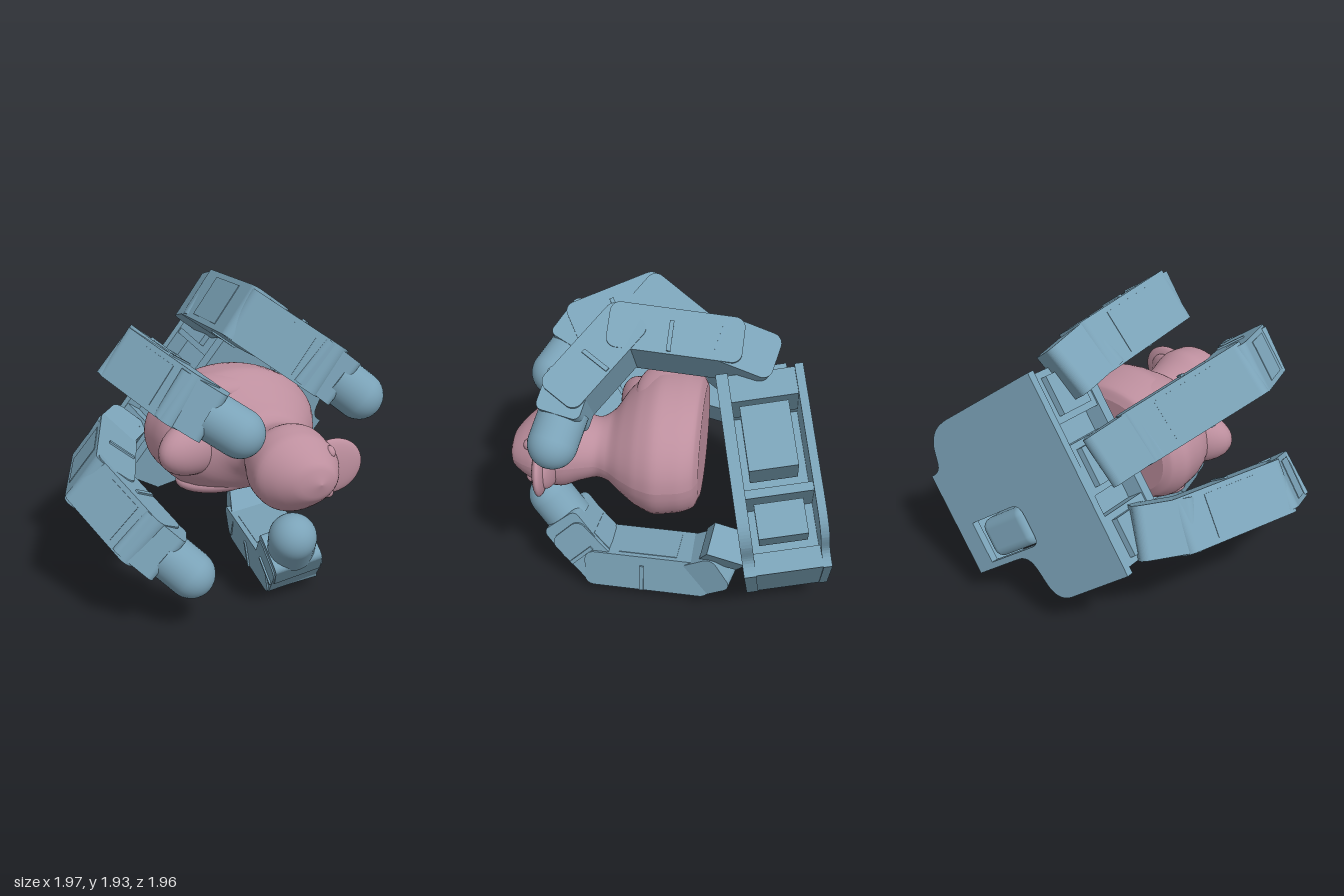
import * as THREE from 'three';
import { RoundedBoxGeometry } from 'three/addons/geometries/RoundedBoxGeometry.js';

const V = (x, y, z) => new THREE.Vector3(x, y, z);
const blue = new THREE.MeshStandardMaterial({ color: 0x7ba3b8 });
const pink = new THREE.MeshStandardMaterial({ color: 0xbd8f9e });

function add(parent, name, geometry, material, pos = [0, 0, 0], scale = [1, 1, 1]) {
  const mesh = new THREE.Mesh(geometry, material);
  mesh.name = name;
  mesh.position.set(...pos);
  mesh.scale.set(...scale);
  parent.add(mesh);
  return mesh;
}
const box = (parent, name, size, pos) => add(parent, name, new THREE.BoxGeometry(...size), blue, pos);

// Extruded link housing: length on y, thickness on z, width on x, rounded in profile
function linkGeometry(width, length, thick, r) {
  const a = thick / 2, b = length / 2, s = new THREE.Shape();
  s.moveTo(-a + r, -b);
  s.lineTo(a - r, -b).absarc(a - r, -b + r, r, -Math.PI / 2, 0);
  s.lineTo(a, b - r).absarc(a - r, b - r, r, 0, Math.PI / 2);
  s.lineTo(-a + r, b).absarc(-a + r, b - r, r, Math.PI / 2, Math.PI);
  s.lineTo(-a, -b + r).absarc(-a + r, -b + r, r, Math.PI, Math.PI * 1.5);
  return new THREE.ExtrudeGeometry(s, { depth: width, bevelEnabled: false, curveSegments: 6 })
    .translate(0, 0, -width / 2).rotateY(Math.PI / 2);
}

// Jointed finger through a chain of joints; the last point is the fingertip centre
function finger(parent, name, joints, widthAxis, thick) {
  const g = new THREE.Group();
  g.name = name;
  parent.add(g);
  const widths = [0.32, 0.33, 0.315, 0.295];
  for (let i = 0; i < joints.length - 1; i++) {
    const a = joints[i], b = joints[i + 1], last = i === joints.length - 2;
    const y = b.clone().sub(a), length = y.length(), w = widths[i];
    y.normalize();
    const x = widthAxis.clone().addScaledVector(y, -widthAxis.dot(y)).normalize();
    const link = new THREE.Group();
    link.name = ['knuckleBase', 'proximalLink', 'middleLink', 'distalLink'][i];
    link.quaternion.setFromRotationMatrix(new THREE.Matrix4().makeBasis(x, y, x.clone().cross(y)));
    link.position.copy(a);
    g.add(link);
    if (last) {
      // Distal housing with the rounded rubber tip
      const h = length * 0.6 + 0.08;
      add(link, 'housing', linkGeometry(w, h, 0.26, 0.04), blue, [0, h / 2 - 0.1, 0]);
      add(link, 'tipSleeve', new THREE.CylinderGeometry(0.142, 0.142, 0.2, 32), blue, [0, length - 0.1, 0]);
      add(link, 'fingertip', new THREE.SphereGeometry(0.142, 32, 20), blue, [0, length, 0]);
    } else {
      const h = length + (i === 0 ? 0.14 : 0.18);
      add(link, 'housing', linkGeometry(w, h, thick, 0.06), blue, [0, length / 2, 0]);
      // Slim ribs on the sides and a cover on the back
      if (i > 0) {
        for (const s of [-1, 1]) box(link, 'sideRib', [0.014, 0.025, 0.18], [s * (w / 2 + 0.004), length * 0.55, 0.03]);
        box(link, 'backCover', [w * 0.8, length * 0.6, 0.012], [0, length / 2, 0.002 - thick / 2]);
      }
    }
    // Hinge pin
    if (i > 0) add(link, 'hinge', new THREE.CylinderGeometry(0.125, 0.125, 0.29, 24).rotateZ(Math.PI / 2), blue);
  }
}

const plate = (shape, depth) => new THREE.ExtrudeGeometry(shape, { depth, bevelEnabled: false, curveSegments: 10 });

// Palm outline; the back one carries the thumb lobe
function palmOutline(lobed) {
  const s = new THREE.Shape();
  s.moveTo(-0.34, 0).lineTo(0.34, 0);
  s.bezierCurveTo(0.33, 0.12, 0.42, 0.1, 0.5, 0.14);
  s.bezierCurveTo(0.58, 0.19, 0.6, 0.24, 0.61, 0.34);
  s.lineTo(0.63, 1.12);
  if (lobed) {
    s.lineTo(-0.65, 1.11).lineTo(-0.665, 0.62);
    s.bezierCurveTo(-0.66, 0.53, -0.6, 0.5, -0.54, 0.49);
    s.bezierCurveTo(-0.44, 0.47, -0.34, 0.48, -0.34, 0.36);
  } else s.lineTo(-0.62, 1.12).lineTo(-0.6, 0.85).lineTo(-0.34, 0.6);
  s.closePath();
  return s;
}

function buildPalm(hand) {
  const palm = new THREE.Group();
  palm.name = 'palm';
  hand.add(palm);

  const back = palmOutline(true), hole = new THREE.Path();
  hole.moveTo(-0.3, 0.14).lineTo(-0.3, 0.52).quadraticCurveTo(-0.3, 0.58, -0.24, 0.58);
  hole.lineTo(-0.1, 0.58).quadraticCurveTo(-0.03, 0.58, -0.03, 0.5).lineTo(-0.03, 0.14).closePath();
  back.holes.push(hole);
  add(palm, 'backPlate', plate(back, 0.05), blue);
  add(palm, 'frontPlate', plate(palmOutline(false), 0.07), blue, [0, 0, 0.43]);

  // Wrist block, cross ribs and central web between the plates
  box(palm, 'wristBlock', [0.674, 0.125, 0.44], [0, 0.067, 0.25]);
  box(palm, 'lowerRib', [0.58, 0.05, 0.4], [0.3, 0.42, 0.25]);
  box(palm, 'upperRib', [1.2, 0.05, 0.4], [0, 0.98, 0.25]);
  box(palm, 'web', [0.05, 0.9, 0.4], [0.2, 0.55, 0.25]);
  // Drive motors in the bays, and one stepped mount for each finger
  box(palm, 'motor', [0.3, 0.38, 0.28], [0.43, 0.74, 0.25]);
  box(palm, 'motor', [0.22, 0.2, 0.28], [0.38, 0.28, 0.25]);
  box(palm, 'motor', [0.5, 0.3, 0.28], [-0.2, 0.78, 0.25]);
  for (const u of [-0.45, 0, 0.45]) {
    box(palm, 'fingerMount', [0.32, 0.16, 0.38], [u, 1.03, 0.24]);
    box(palm, 'fingerMountStep', [0.24, 0.1, 0.26], [u, 1.1, 0.22]);
  }
  add(palm, 'thumbMotor', new RoundedBoxGeometry(0.25, 0.38, 0.4, 3, 0.06), blue, [-0.17, 0.38, 0.19]);
}

// Body and head skinned over elliptical sections: z, centre x, radius x, radius y
function duckSkin() {
  const keys = [
    [-0.17, 0.11, 0.41, 0.3], [-0.14, 0.12, 0.47, 0.36], [-0.05, 0.12, 0.52, 0.39], [0.08, 0.14, 0.52, 0.4],
    [0.2, 0.14, 0.48, 0.355], [0.3, 0.16, 0.39, 0.27], [0.38, 0.22, 0.26, 0.19], [0.46, 0.25, 0.2, 0.175],
    [0.56, 0.25, 0.225, 0.205], [0.68, 0.25, 0.255, 0.252], [0.8, 0.25, 0.255, 0.235], [0.89, 0.27, 0.2, 0.17],
    [0.955, 0.3, 0.12, 0.1], [0.985, 0.32, 0.001, 0.001]];
  const centres = new THREE.CatmullRomCurve3(keys.map(k => V(k[1], 0, k[0])));
  const radii = new THREE.CatmullRomCurve3(keys.map(k => V(k[2], k[3], 0)));
  const rows = 64, cols = 48, pos = [], idx = [];
  for (let i = 0; i <= rows; i++) {
    const c = centres.getPoint(i / rows), r = radii.getPoint(i / rows);
    for (let j = 0; j <= cols; j++) {
      const t = (j / cols) * Math.PI * 2;
      pos.push(c.x + Math.cos(t) * r.x, 0.95 + Math.sin(t) * r.y, c.z);
      if (i < rows && j < cols) {
        const p = i * (cols + 1) + j, q = p + cols + 1;
        idx.push(p, p + 1, q, p + 1, q + 1, q);
      }
    }
  }
  const g = new THREE.BufferGeometry();
  g.setAttribute('position', new THREE.Float32BufferAttribute(pos, 3));
  g.setIndex(idx);
  g.computeVertexNormals();
  return g;
}

function buildDuck(root) {
  const duck = new THREE.Group();
  duck.name = 'toyDuck';
  root.add(duck);
  const ball = new THREE.SphereGeometry(1, 32, 20);
  add(duck, 'bodyAndHead', duckSkin(), pink);
  add(duck, 'base', new THREE.CircleGeometry(1, 48).rotateY(Math.PI), pink, [0.11, 0.95, -0.17], [0.41, 0.3, 1]);
  // Upturned tail
  add(duck, 'tail', ball, pink, [-0.15, 0.95, 0.22], [0.29, 0.18, 0.14]).rotation.y = 0.45;
  // Wide flat bill in two halves
  add(duck, 'upperBill', ball, pink, [0.48, 0.95, 0.77], [0.19, 0.17, 0.045]).rotation.y = 0.05;
  add(duck, 'lowerBill', ball, pink, [0.45, 0.95, 0.71], [0.16, 0.14, 0.045]).rotation.y = -0.2;
  for (const s of [-1, 1]) {
    add(duck, 'eye', ball, pink, [0.43, 0.95 + s * 0.12, 0.835], [0.032, 0.04, 0.04]);
    add(duck, 'wing', ball, pink, [0.04, 0.95 + s * 0.3, 0.08], [0.28, 0.085, 0.17]);
  }
}

export function createModel() {
  const root = new THREE.Group();
  root.name = 'handHoldingDuck';

  // Tilted hand frame: x across the knuckles, y towards the fingers, z out of the palm
  const hand = new THREE.Group();
  hand.name = 'mechanicalHand';
  const x = V(0.61, 0.79, 0.013).normalize(), z = V(0.16, -0.14, 0.98);
  z.addScaledVector(x, -z.dot(x)).normalize();
  hand.quaternion.setFromRotationMatrix(new THREE.Matrix4().makeBasis(x, z.clone().cross(x), z));
  hand.position.set(0.705, 0.47, -0.975);
  root.add(hand);
  buildPalm(hand);

  const across = V(1, 0, 0);
  finger(hand, 'firstFinger', [V(0.55, 1.19, 0.24), V(0.6, 1.28, 0.42), V(0.67, 1.425, 0.98), V(0.69, 1.11, 1.32), V(0.68, 0.84, 1.45)], across, 0.27);
  finger(hand, 'secondFinger', [V(0, 1.17, 0.24), V(0.03, 1.36, 0.4), V(0.09, 1.83, 0.83), V(0.12, 1.71, 1.25), V(0.146, 1.445, 1.48)], across, 0.27);
  finger(hand, 'thirdFinger', [V(-0.48, 1.17, 0.24), V(-0.55, 1.32, 0.4), V(-0.63, 1.59, 0.93), V(-0.67, 1.42, 1.31), V(-0.7, 1.137, 1.51)], across, 0.27);

  // Thumb, reaching forward beneath the duck
  finger(root, 'thumb', [V(0.42, 0.25, -0.31), V(0.385, 0.155, -0.17), V(0.355, 0.155, 0.44), V(0.31, 0.32, 0.6), V(0.245, 0.535, 0.78)], V(0.99, 0.15, 0), 0.25);
  // Stepped bracket joining the thumb to the palm
  const mount = new THREE.Group();
  mount.name = 'thumbMount';
  mount.position.set(0.5, 0.43, -0.34);
  mount.rotation.set(-0.3, 0, -0.65);
  root.add(mount);
  box(mount, 'bracket', [0.2, 0.24, 0.24], [0, 0.03, 0]);
  box(mount, 'bracketStep', [0.17, 0.36, 0.13], [0, -0.06, -0.06]);

  buildDuck(root);
  return root;
}
